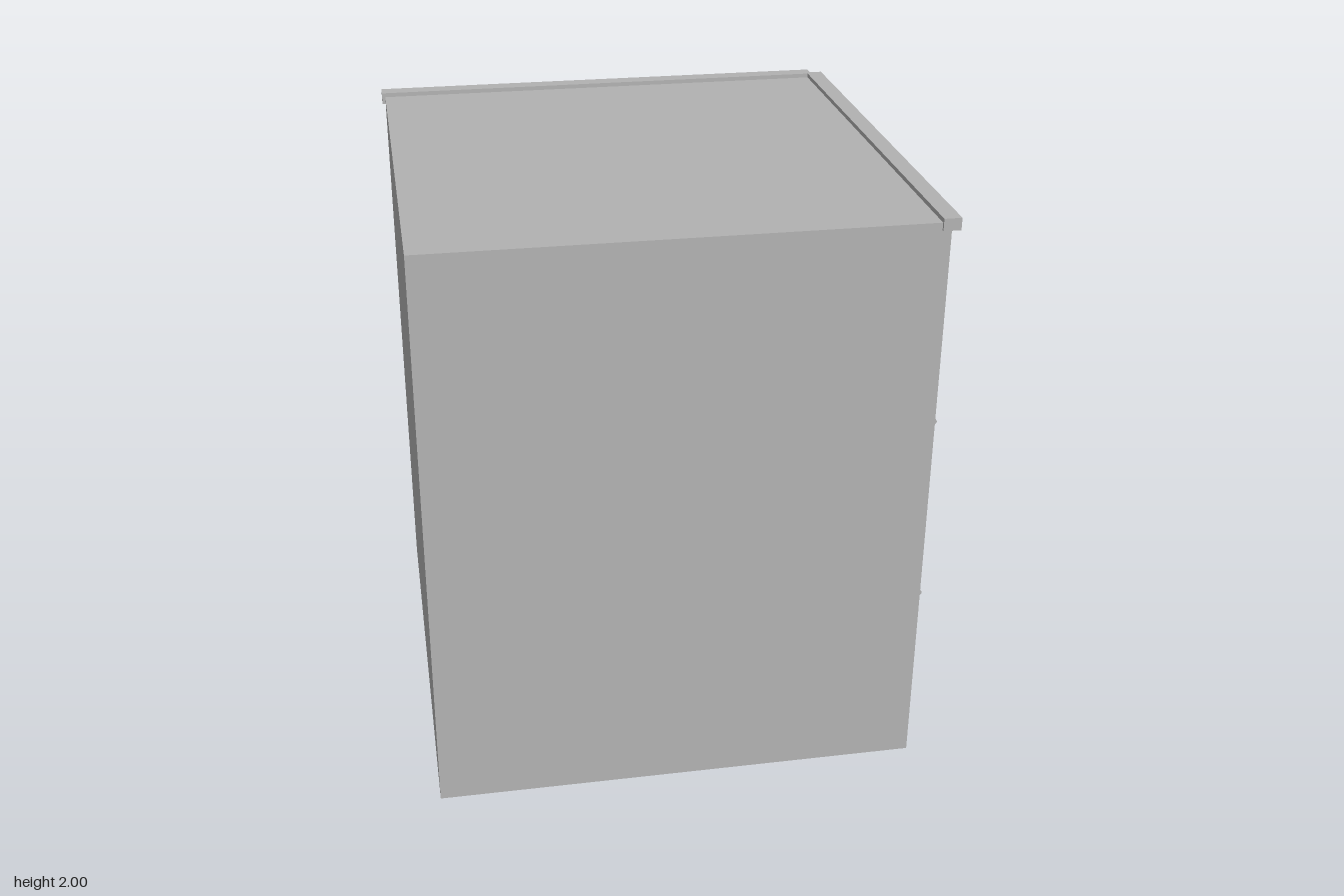
import * as THREE from 'three';

const stone = new THREE.MeshStandardMaterial({ color: 0xb2b2b2 });
stone.name = 'grey stone';

// Box given by its limits on each axis
function block(parent, name, x0, x1, y0, y1, z0, z1) {
  const mesh = new THREE.Mesh(new THREE.BoxGeometry(x1 - x0, y1 - y0, z1 - z0), stone);
  mesh.position.set((x0 + x1) / 2, (y0 + y1) / 2, (z0 + z1) / 2);
  mesh.name = name;
  parent.add(mesh);
}

const INNER = 0.79, OUTER = 0.815, TRIM = 0.831; // wall back, wall face, trim face
const Z0 = -0.79, Z1 = 0.835;                   // ends of a facade

// Window openings: [low z, high z, lintel low z, lintel high z]
const columns = [
  [0.405, 0.722, 0.386, 0.751],
  [-0.132, 0.183, -0.159, 0.204],
  [-0.677, -0.362, -0.698, -0.339],
];
// Sill top, lintel underside
const rows = [[0.127, 0.53], [0.781, 1.18], [1.436, 1.832]];
const door = { z0: -0.175, z1: 0.22, y0: 0.021, y1: 0.482 };

function holePath(z0, z1, y0, y1) {
  const path = new THREE.Path();
  path.moveTo(-z1, y0);
  path.lineTo(-z1, y1);
  path.lineTo(-z0, y1);
  path.lineTo(-z0, y0);
  path.closePath();
  return path;
}

// Three upright bars dividing an opening in four
function mullions(parent, z0, z1, y0, y1) {
  for (let i = 1; i < 4; i++) {
    const z = z0 + ((z1 - z0) * i) / 4;
    block(parent, 'mullion', INNER - 0.005, INNER + 0.01, y0, y1, z - 0.004, z + 0.004);
  }
}

// One street facade, facing +x
function facade() {
  const group = new THREE.Group();
  const shape = new THREE.Shape();
  shape.moveTo(-Z1, 0);
  shape.lineTo(-Z0, 0);
  shape.lineTo(-Z0, 1.985);
  shape.lineTo(-Z1, 1.985);
  shape.closePath();

  rows.forEach(([y0, y1], r) => columns.forEach(([z0, z1, l0, l1], c) => {
    if (r === 0 && c === 1) return; // the doorway takes this place
    shape.holes.push(holePath(z0, z1, y0, y1));
    const frame = new THREE.Group();
    frame.name = 'window';
    group.add(frame);
    block(frame, 'sill', INNER, TRIM, y0 - 0.018, y0, l0, l1);
    block(frame, 'lintel', INNER, TRIM, y1, y1 + 0.018, l0, l1);
    const mid = (y0 + y1) / 2;
    block(frame, 'transom', INNER - 0.005, INNER + 0.009, mid - 0.004, mid + 0.004, z0, z1);
    mullions(frame, z0, z1, y0, y1);
  }));

  // Doorway
  const { z0, z1, y0, y1 } = door;
  shape.holes.push(holePath(z0, z1, y0, y1));
  const entry = new THREE.Group();
  entry.name = 'doorway';
  group.add(entry);
  block(entry, 'threshold', INNER, TRIM, 0, y0, -0.196, 0.243);
  block(entry, 'doorLintel', INNER, TRIM, y1, 0.503, -0.196, 0.243);
  block(entry, 'bottomRail', INNER - 0.005, INNER + 0.012, y0, 0.048, z0, z1);
  mullions(entry, z0, z1, 0.048, y1);

  // Wall with cut openings
  const wallGeo = new THREE.ExtrudeGeometry(shape, { depth: OUTER - INNER, bevelEnabled: false });
  wallGeo.rotateY(Math.PI / 2);
  wallGeo.translate(INNER, 0, 0);
  const wall = new THREE.Mesh(wallGeo, stone);
  wall.name = 'wall';
  group.add(wall);

  // Rounded string courses between floors
  for (const y of [0.655, 1.305]) {
    const geo = new THREE.CylinderGeometry(0.01, 0.01, Z1 - Z0, 16);
    geo.rotateX(Math.PI / 2);
    const course = new THREE.Mesh(geo, stone);
    course.name = 'stringCourse';
    course.position.set(0.811, y, (Z0 + Z1) / 2);
    group.add(course);
  }

  block(group, 'cornice', 0.785, 0.842, 1.96, 2, -0.802, 0.843);
  return group;
}

export function createModel() {
  const model = new THREE.Group();
  model.name = 'building';
  block(model, 'core', -0.835, INNER, 0, 1.985, -INNER, 0.835);

  const right = facade();
  right.name = 'rightFacade';
  model.add(right);

  // The back facade is the same one turned a quarter
  const back = facade();
  back.name = 'backFacade';
  back.rotation.y = Math.PI / 2;
  back.position.x = -0.045;
  model.add(back);
  return model;
}
